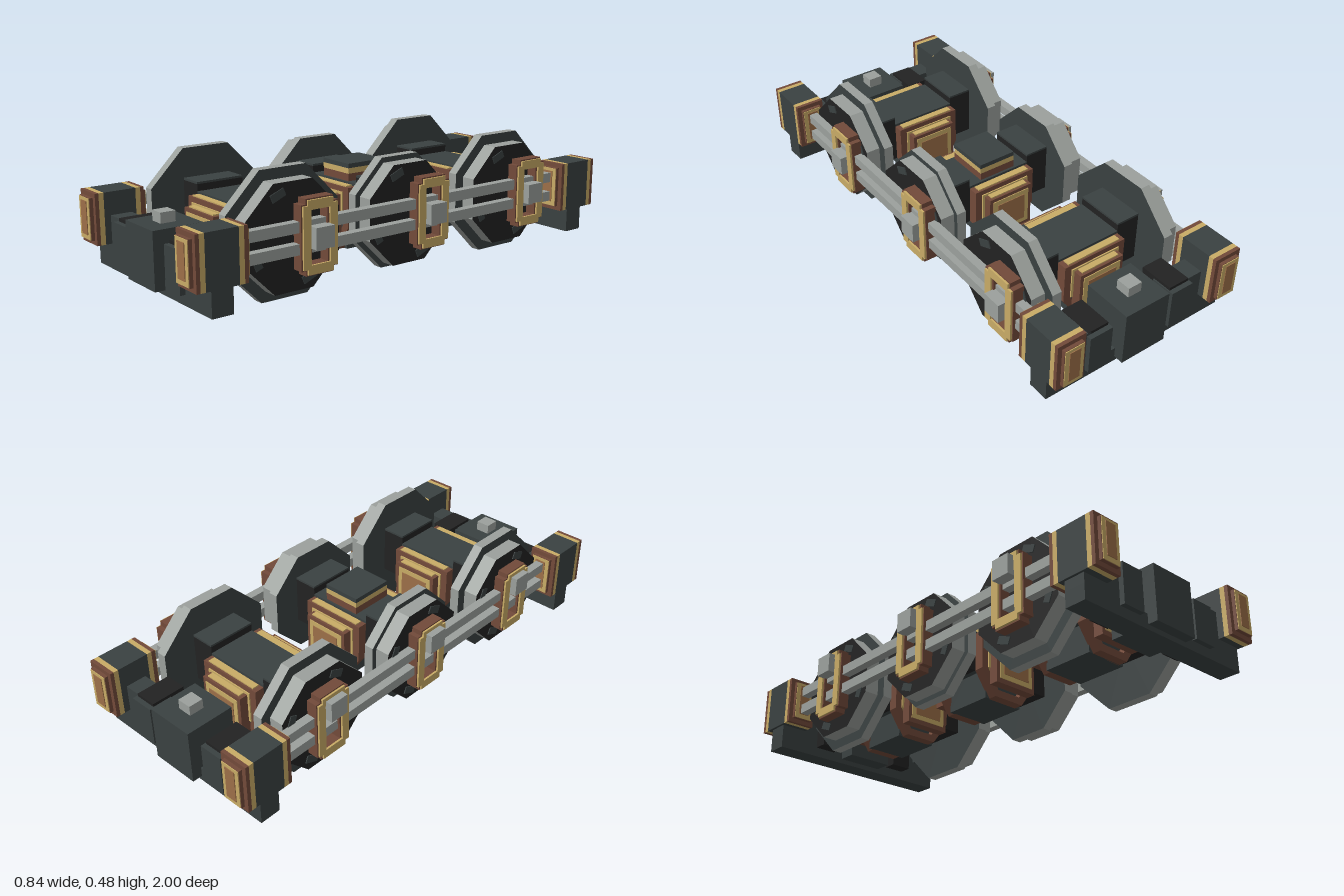
import * as THREE from 'three';

const mat = (name, color) => Object.assign(new THREE.MeshStandardMaterial({ color }), { name });

export function createModel() {
  const slate = mat('slate', 0x3a4141), black = mat('black', 0x222222), steel = mat('steel', 0x9ba09c);
  const brown = mat('brown', 0x724a3a), copper = mat('copper', 0x9c6f48), gold = mat('gold', 0xc8ab66);
  const root = new THREE.Group();
  root.name = 'bogie';

  const group = (name, parent = root) => {
    const g = new THREE.Group();
    g.name = name;
    parent.add(g);
    return g;
  };
  // Box given by its extents on each axis
  const box = (parent, name, m, [x0, x1], [y0, y1], [z0, z1]) => {
    const mesh = new THREE.Mesh(new THREE.BoxGeometry(x1 - x0, y1 - y0, z1 - z0), m);
    mesh.position.set((x0 + x1) / 2, (y0 + y1) / 2, (z0 + z1) / 2);
    mesh.name = name;
    parent.add(mesh);
    return mesh;
  };
  // Span between a and b, mirrored when s is -1
  const span = (s, a, b) => (s > 0 ? [a, b] : [-b, -a]);
  const poly = (Type, pts) => new Type(pts.map(([x, y]) => new THREE.Vector2(x, y)));

  // Flat-topped octagonal disc along x; r is the distance to a flat
  const octagon = (parent, name, r, [x0, x1], cap) => {
    const R = r / Math.cos(Math.PI / 8);
    const g = new THREE.CylinderGeometry(R, R, x1 - x0, 8, 1, false, Math.PI / 8).toNonIndexed();
    g.computeVertexNormals();
    g.rotateZ(-Math.PI / 2);
    const mesh = new THREE.Mesh(g, [steel, cap, cap]);
    mesh.position.x = (x0 + x1) / 2;
    mesh.name = name;
    parent.add(mesh);
  };

  const wheel = (parent, s, flangeR, treadR) => {
    const w = group('wheel', parent);
    w.position.y = 0.24;
    octagon(w, 'flange', flangeR, span(s, 0.24, 0.28), slate);
    octagon(w, 'tread', treadR, span(s, 0.28, 0.34), black);
    // Small slate plates round the outer face
    for (let i = 0; i < 4; i++) {
      const a = Math.PI / 8 + i * Math.PI / 2;
      const p = box(w, 'wheelPlate', slate, span(s, 0.34, 0.344), [-0.015, 0.015], [-0.03, 0.03]);
      p.position.y = Math.cos(a) * 0.17;
      p.position.z = Math.sin(a) * 0.17;
      p.rotation.x = a;
    }
  };

  // Motor end frame, a chamfered ring
  const frameShape = poly(THREE.Shape, [[-0.14, 0.32], [-0.14, 0.16], [-0.07, 0.06], [0.07, 0.06], [0.14, 0.16], [0.14, 0.32]]);
  frameShape.holes.push(poly(THREE.Path, [[-0.11, 0.29], [0.11, 0.29], [0.11, 0.17], [0.055, 0.09], [-0.055, 0.09], [-0.11, 0.17]]));
  const frameGeo = new THREE.ExtrudeGeometry(frameShape, { depth: 0.04, bevelEnabled: false });

  const motor = (parent) => {
    const m = group('motor', parent);
    box(m, 'motorBody', slate, [-0.09, 0.09], [0.06, 0.32], [-0.105, 0.105]);
    box(m, 'motorTop', slate, [-0.14, 0.14], [0.18, 0.33], [-0.1, 0.1]);
    for (const s of [1, -1]) {
      const f = new THREE.Mesh(frameGeo, brown);
      f.position.z = s > 0 ? 0.1 : -0.14;
      f.name = 'motorFrame';
      m.add(f);
      box(m, 'frameTopStrip', gold, [-0.12, 0.12], [0.32, 0.325], span(s, 0.105, 0.133));
      box(m, 'goldFacing', gold, [-0.11, 0.11], [0.17, 0.3], span(s, 0.1, 0.145));
      box(m, 'endCover', brown, [-0.1, 0.1], [0.1, 0.29], span(s, 0.14, 0.18));
      box(m, 'endCoverStrip', gold, [-0.085, 0.085], [0.29, 0.295], span(s, 0.146, 0.17));
      box(m, 'endCoverGold', gold, [-0.085, 0.085], [0.12, 0.275], span(s, 0.18, 0.183));
      box(m, 'endCoverCopper', copper, [-0.065, 0.065], [0.14, 0.255], span(s, 0.183, 0.186));
    }
  };

  // Three driven axles
  for (const z of [-0.54, 0, 0.54]) {
    const axle = group('axle');
    axle.position.z = z;
    motor(axle);
    for (const s of [1, -1]) {
      wheel(axle, s, z ? 0.24 : 0.215, z ? 0.2 : 0.195);
      box(axle, 'axleHousing', black, span(s, 0.14, 0.24), [0.16, 0.357], [-0.1, 0.1]);
      box(axle, 'housingTop', slate, span(s, 0.14, 0.24), [0.357, 0.365], [-0.1, 0.1]);
    }
  }

  // Pivot turret on the middle axle
  const turret = group('pivotTurret');
  box(turret, 'turretBase', brown, [-0.08, 0.08], [0.32, 0.36], [-0.09, 0.09]);
  box(turret, 'turretBand', gold, [-0.08, 0.08], [0.36, 0.382], [-0.09, 0.09]);
  box(turret, 'turretCap', slate, [-0.08, 0.08], [0.382, 0.4], [-0.09, 0.09]);

  // Slotted yoke outline in the side plane
  const yokeRing = (w, h, c, hw, hh) => {
    const s = poly(THREE.Shape, [[-w, c - h], [c - w, c - h], [c - w, -h], [w - c, -h], [w - c, c - h], [w, c - h],
      [w, h - c], [w - c, h - c], [w - c, h], [c - w, h], [c - w, h - c], [-w, h - c]]);
    s.holes.push(poly(THREE.Path, [[-hw, -hh], [-hw, hh], [hw, hh], [hw, -hh]]));
    return s;
  };
  const yokePart = (parent, name, m, shape, x0, x1, s) => {
    const g = new THREE.ExtrudeGeometry(shape, { depth: x1 - x0, bevelEnabled: false });
    g.rotateY(Math.PI / 2);
    const mesh = new THREE.Mesh(g, m);
    mesh.position.x = s > 0 ? x0 : -x1;
    mesh.name = name;
    parent.add(mesh);
  };

  // Coupling rods, yokes and crank pins, a quarter turn apart on the two sides
  for (const s of [1, -1]) {
    const rods = group(s > 0 ? 'leftRods' : 'rightRods');
    for (const y of [0.2, 0.28]) box(rods, 'couplingRod', steel, span(s, 0.34, 0.375), [y - 0.02, y + 0.02], [-0.78, 0.78]);
    for (const z of [-0.54, 0, 0.54]) {
      const yoke = group('yoke', rods);
      yoke.position.set(0, 0.24, s > 0 ? z - 0.08 : z);
      yokePart(yoke, 'yokeFrame', brown, yokeRing(0.08, 0.14, 0.02, 0.035, 0.1), 0.34, 0.385, s);
      yokePart(yoke, 'yokeFace', gold, yokeRing(0.075, 0.135, 0.02, 0.042, 0.1), 0.385, 0.393, s);
      const py = s > 0 ? 0 : 0.08;
      box(yoke, 'crankPin', steel, span(s, 0.34, 0.42), [py - 0.04, py + 0.04], [-0.04, 0.04]);
    }
  }

  // End beams with journal boxes
  for (const e of [1, -1]) {
    const beam = group(e > 0 ? 'frontBeam' : 'rearBeam');
    const z = (a, b) => span(e, a, b);
    box(beam, 'crossBeam', slate, [-0.41, 0.41], [0.04, 0.1], z(0.835, 0.92));
    box(beam, 'centreBlock', slate, [-0.1, 0.1], [0.06, 0.28], z(0.76, 0.96));
    box(beam, 'pivotPin', steel, [-0.03, 0.03], [0.28, 0.32], z(0.83, 0.89));
    for (const s of [1, -1]) {
      const x = (a, b) => span(s, a, b);
      box(beam, 'beamShoulder', slate, x(0.22, 0.41), [0.1, 0.25], z(0.835, 0.92));
      box(beam, 'sideBlock', slate, x(0.14, 0.24), [0.08, 0.24], z(0.84, 0.94));
      box(beam, 'sideBlockInner', black, x(0.145, 0.235), [0.08, 0.252], z(0.78, 0.92));
      const j = group('journalBox', beam);
      box(j, 'journalCore', slate, x(0.3, 0.42), [0.14, 0.34], z(0.815, 0.945));
      for (const d of [1, -1]) {
        const dz = (a, b) => { const q = span(d, a, b); return z(0.88 + q[0], 0.88 + q[1]); };
        box(j, 'goldBand', gold, x(0.3, 0.42), [0.14, 0.34], dz(0.065, 0.085));
        box(j, 'brownBand', brown, x(0.3, 0.42), [0.14, 0.34], dz(0.085, 0.1));
        box(j, 'endPlate', brown, x(0.318, 0.402), [0.158, 0.322], dz(0.1, 0.114));
        box(j, 'endGold', gold, x(0.32, 0.4), [0.16, 0.32], dz(0.114, 0.117));
        box(j, 'endCopper', copper, x(0.337, 0.383), [0.178, 0.308], dz(0.117, 0.12));
      }
    }
  }
  return root;
}
